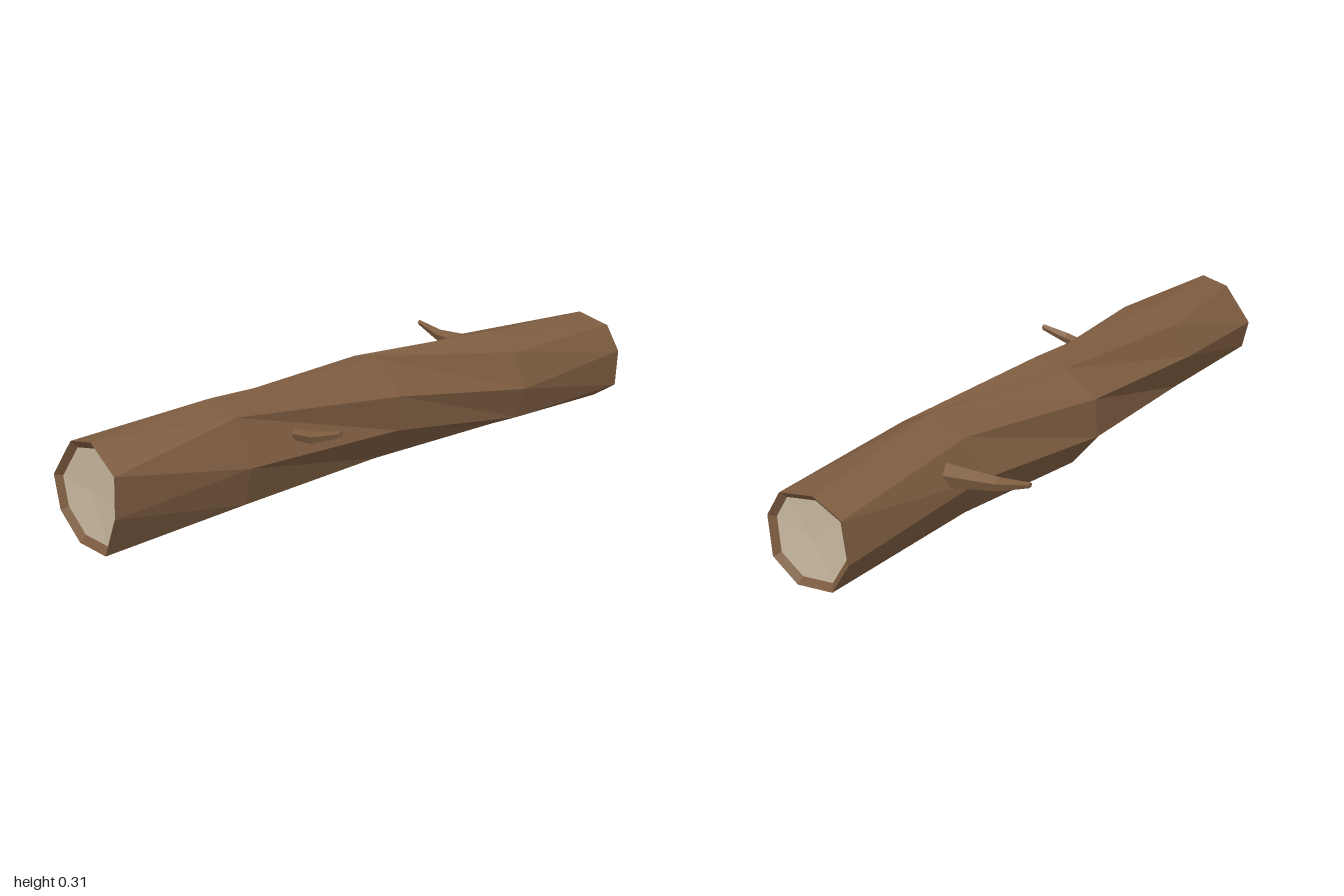
import * as THREE from 'three';

// Skin a list of rings with quads; each ring runs counter-clockwise seen from the start
function loft(rings) {
  const pos = [];
  for (let r = 0; r < rings.length - 1; r++) {
    const p = rings[r], q = rings[r + 1], n = p.length;
    for (let i = 0; i < n; i++) {
      const j = (i + 1) % n;
      pos.push(...p[i], ...q[i], ...p[j], ...p[j], ...q[i], ...q[j]);
    }
  }
  return toGeometry(pos);
}

// Close a ring with a fan around a centre point
function fan(ring, centre, reverse) {
  const pos = [];
  ring.forEach((a, i) => {
    const b = ring[(i + 1) % ring.length];
    pos.push(...centre, ...(reverse ? b : a), ...(reverse ? a : b));
  });
  return toGeometry(pos);
}

function toGeometry(pos) {
  const g = new THREE.BufferGeometry();
  g.setAttribute('position', new THREE.Float32BufferAttribute(pos, 3));
  g.computeVertexNormals();
  return g;
}

const middle = ring => [0, 1, 2].map(k => ring.reduce((s, p) => s + p[k], 0) / ring.length);

// Shrunken copy of an end ring, set back into the log
function inset(ring, z) {
  const c = middle(ring);
  return ring.map(p => [c[0] + (p[0] - c[0]) * 0.86, c[1] + (p[1] - c[1]) * 0.86, z]);
}

export function createModel() {
  const group = new THREE.Group();
  const bark = new THREE.MeshStandardMaterial({ color: 0x7d5c40, flatShading: true });
  bark.name = 'bark';
  const wood = new THREE.MeshStandardMaterial({ color: 0xcdbda3, flatShading: true });
  wood.name = 'cutWood';
  const add = (name, geometry, material) => {
    const mesh = new THREE.Mesh(geometry, material);
    mesh.name = name;
    group.add(mesh);
  };

  // Eight-sided cross-sections (x, y) from the front end to the back end
  const sections = [
    [1, [[0.015, 0], [0.135, 0], [0.188, 0.115], [0.195, 0.23], [0.095, 0.295], [0, 0.275], [-0.095, 0.16], [-0.073, 0.066]]],
    [0.59, [[0.07, 0], [0.185, 0.045], [0.213, 0.155], [0.155, 0.283], [0.04, 0.31], [-0.045, 0.262], [-0.1, 0.165], [-0.05, 0.045]]],
    [0, [[-0.055, 0], [0.06, 0], [0.165, 0.115], [0.17, 0.22], [0.078, 0.315], [-0.03, 0.302], [-0.138, 0.23], [-0.145, 0.11]]],
    [-0.5, [[-0.045, 0.04], [0.075, 0], [0.185, 0.05], [0.215, 0.15], [0.17, 0.26], [0.07, 0.31], [-0.06, 0.275], [-0.11, 0.16]]],
    [-1, [[-0.025, 0.02], [0.1, 0], [0.185, 0.055], [0.192, 0.175], [0.14, 0.255], [0.02, 0.28], [-0.075, 0.24], [-0.09, 0.12]]],
  ];
  const rings = sections.map(([z, pts]) => pts.map(([x, y]) => [x, y, z]));
  const front = inset(rings[0], 0.985), back = inset(rings[4], -0.985);

  // Trunk with rims folding inward at both ends
  add('trunk', loft([front, ...rings, back]), bark);

  // Pale cut faces, slightly dished
  const fc = middle(front), bc = middle(back);
  add('frontCutFace', fan(front, [fc[0], fc[1], 0.98], false), wood);
  add('backCutFace', fan(back, [bc[0], bc[1], -0.98], true), wood);

  // Branch stubs: stations of x, y, z, half height, half depth
  const addBranch = (name, side, stations) => {
    const loops = stations.map(([x, y, z, h, d]) => Array.from({ length: 5 }, (_, i) => {
      const a = Math.PI / 2 + (i / 5) * Math.PI * 2;
      return [x, y + Math.sin(a) * h, z + side * Math.cos(a) * d];
    }));
    const tip = loops[loops.length - 1];
    add(name, loft(loops), bark);
    add(name + 'Tip', fan(tip, middle(tip), true), bark);
  };
  addBranch('leftBranch', 1, [
    [0.14, 0.192, 0.395, 0.018, 0.02],
    [0.255, 0.208, 0.402, 0.018, 0.017],
    [0.338, 0.234, 0.383, 0.01, 0.01],
  ]);
  addBranch('rightBranch', -1, [
    [-0.05, 0.205, -0.607, 0.038, 0.033],
    [-0.237, 0.219, -0.582, 0.021, 0.019],
    [-0.338, 0.247, -0.583, 0.008, 0.009],
  ]);
  return group;
}
